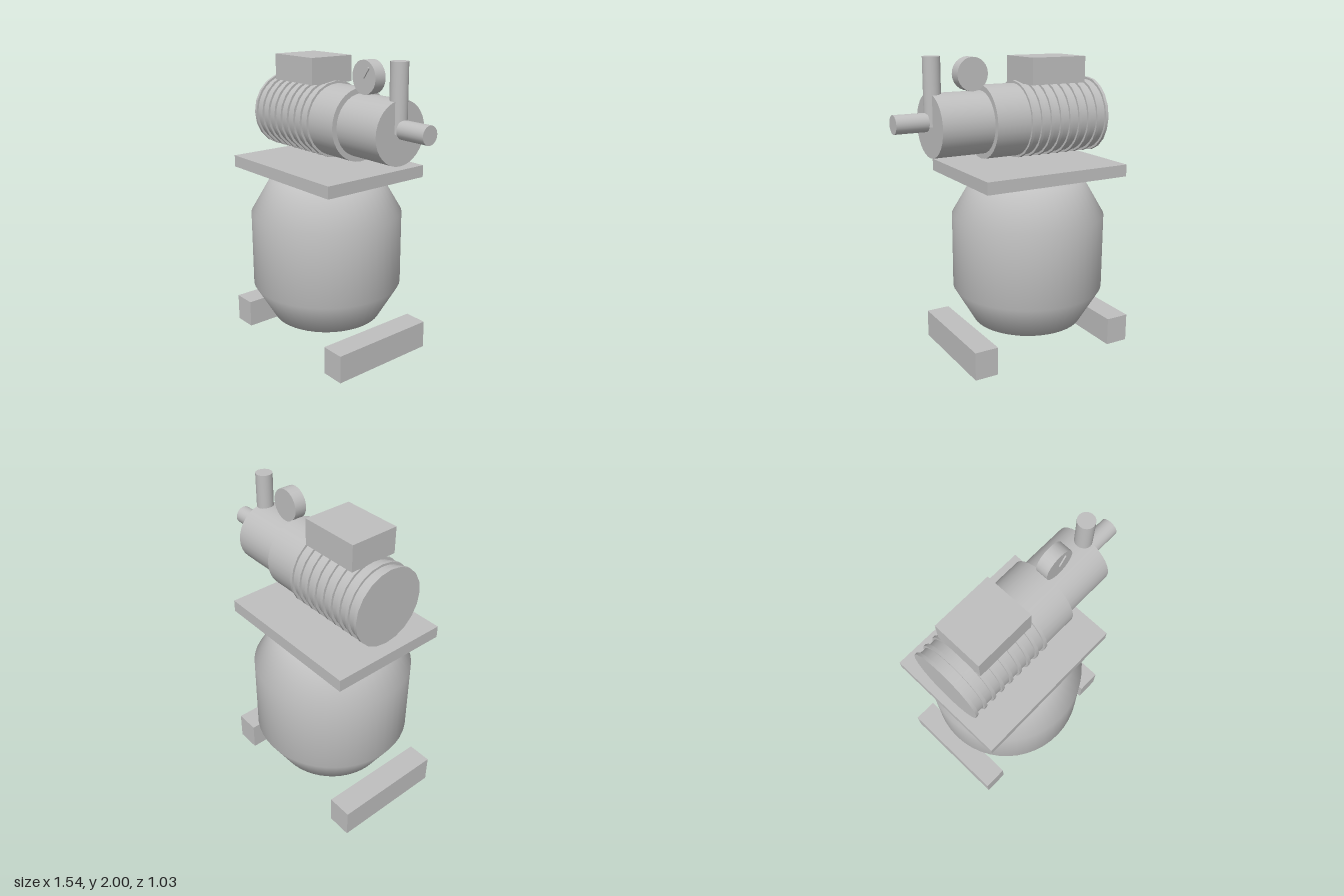
import * as THREE from 'three';

export function createModel() {
  const model = new THREE.Group();
  model.name = 'airCompressor';
  const grey = new THREE.MeshStandardMaterial({ color: 0xbfbfbf });
  grey.name = 'grey metal';

  function add(name, geometry, x, y, z = 0) {
    const mesh = new THREE.Mesh(geometry, grey);
    mesh.name = name;
    mesh.position.set(x, y, z);
    model.add(mesh);
    return mesh;
  }
  const box = (name, w, h, d, x, y, z) => add(name, new THREE.BoxGeometry(w, h, d), x, y, z);
  const cylinder = (name, r, length, sides, x, y, z) =>
    add(name, new THREE.CylinderGeometry(r, r, length, sides), x, y, z);
  // Cylinder lying along x between two ends
  function barrel(name, r, x0, x1, y, sides = 32) {
    const mesh = cylinder(name, r, x1 - x0, sides, (x0 + x1) / 2, y);
    mesh.rotation.z = -Math.PI / 2;
    return mesh;
  }

  // Air tank with chamfered shoulders and shallow cone ends
  const profile = [[0, 0.1], [0.375, 0.19], [0.515, 0.43], [0.515, 0.94], [0.375, 1.18], [0, 1.27]]
    .map(([r, y]) => new THREE.Vector2(r, y));
  add('tank', new THREE.LatheGeometry(profile, 48), -0.173, 0);

  // Mounting plate and skid feet
  box('mountingPlate', 1.035, 0.08, 0.8, -0.173, 1.247);
  for (const [name, x] of [['rightFoot', -0.69], ['leftFoot', 0.345]]) {
    box(name, 0.162, 0.19, 0.752, x, 0.095);
  }

  // Motor with cooling fins and terminal box
  const axisY = 1.58;
  barrel('motor', 0.235, -0.64, 0.18, axisY);
  for (let i = 0; i < 9; i++) {
    const x = -0.632 + i * 0.0706;
    barrel('coolingFin', 0.251, x - 0.01, x + 0.01, axisY, 20);
  }
  box('terminalBox', 0.397, 0.17, 0.327, -0.304, 1.895);

  // Pump head and pipes
  barrel('pumpHead', 0.2, 0.18, 0.532, axisY);
  cylinder('outletPipe', 0.055, 0.42, 24, 0.51, 1.79);
  barrel('inletPipe', 0.059, 0.555, 0.768, 1.605, 24);

  // Pressure gauge
  cylinder('gaugeStem', 0.026, 0.06, 16, 0.25, 1.785);
  const dial = cylinder('gauge', 0.105, 0.082, 24, 0.25, 1.885, 0.003);
  dial.rotation.x = Math.PI / 2;
  const needle = box('gaugeNeedle', 0.014, 0.08, 0.009, 0.273, 1.914, 0.048);
  needle.rotation.z = -0.65;

  return model;
}
